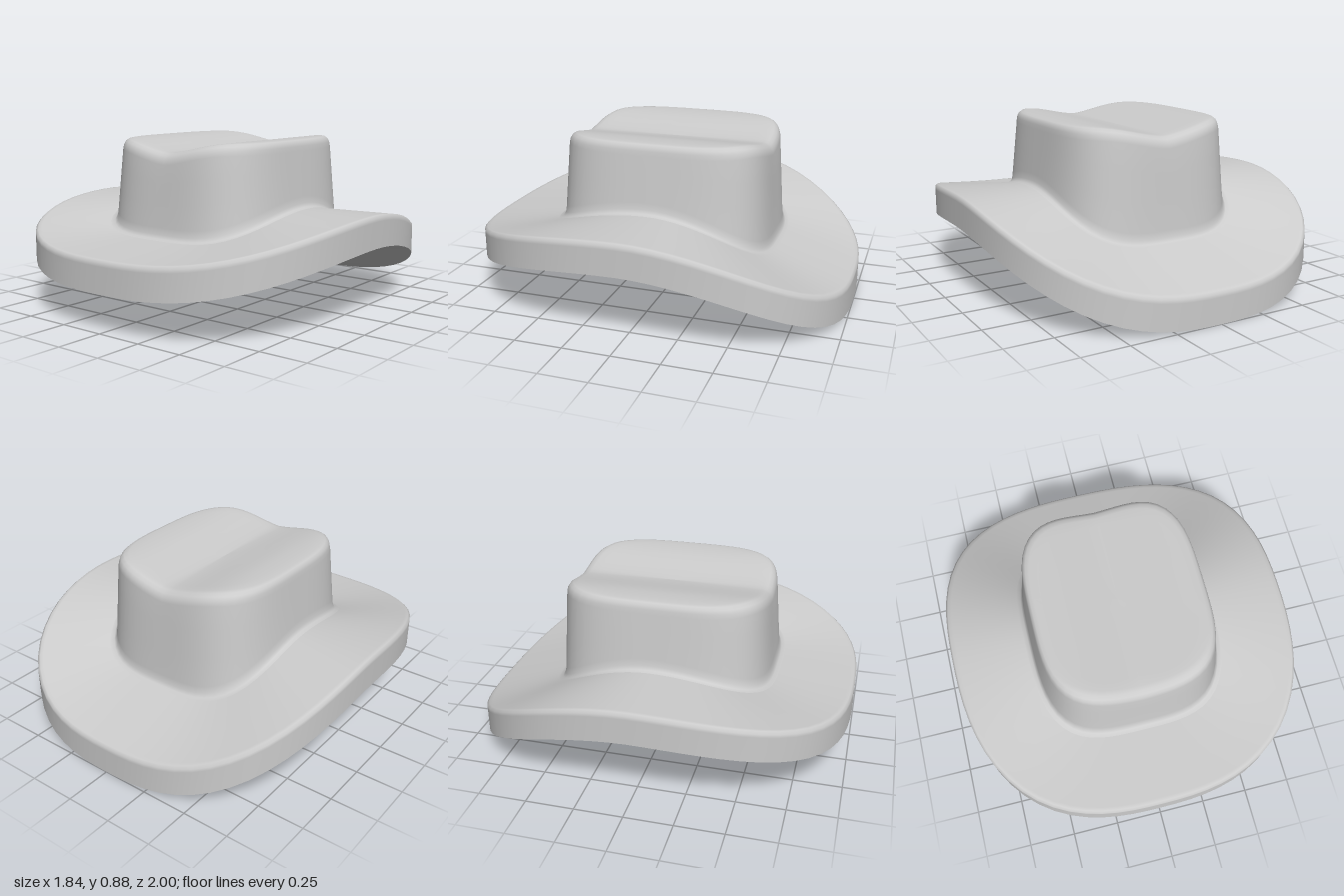
import * as THREE from 'three';

const SEG = 72;
const lerp = THREE.MathUtils.lerp;
const smooth = THREE.MathUtils.smoothstep;

// Rounded-rectangle ring: half sizes a, b; roundness n; height given by a rule of (x, zn)
const ring = (a, b, n, height) => Array.from({ length: SEG }, (_, j) => {
  const t = (j / SEG) * Math.PI * 2, c = Math.cos(t), s = Math.sin(t);
  const r = Math.pow(Math.abs(c) ** n + Math.abs(s) ** n, -1 / n);
  return [a * r * c, height(a * r * c, r * s), b * r * s];
});

// Skin consecutive rings with a smooth surface
function loft(name, rings, material) {
  const index = [];
  for (let i = 0; i < rings.length - 1; i++) {
    for (let j = 0; j < SEG; j++) {
      const k = (j + 1) % SEG, p = i * SEG, q = p + SEG;
      index.push(p + j, q + j, p + k, q + j, q + k, p + k);
    }
  }
  const geometry = new THREE.BufferGeometry();
  geometry.setAttribute('position', new THREE.Float32BufferAttribute(rings.flat(2), 3));
  geometry.setIndex(index);
  geometry.computeVertexNormals();
  const mesh = new THREE.Mesh(geometry, material);
  mesh.name = name;
  return mesh;
}

// Brim heights: level at the sides, dipping at the front and more at the back
const edgeY = (zn) => 0.525 - (zn > 0 ? 0.172 : 0.363) * zn * zn;
const baseY = (zn) => 0.525 - (zn > 0 ? 0.14 : 0.235) * zn * zn;
// Crown top: a valley along z between two raised sides
const topY = (x) => 0.82 + 0.06 * smooth(Math.abs(x), -0.04, 0.36) - 0.06 * smooth(0, -0.04, 0.36);

export function createModel() {
  const group = new THREE.Group();
  const felt = new THREE.MeshStandardMaterial({ color: 0xcccccc, side: THREE.DoubleSide });
  const A = 0.92, B = 1, N = 2.65;
  const a0 = 0.52, b0 = 0.6, n0 = 3.5;

  // Brim: upright outer wall, softened edge, then the upper surface in to the crown
  const wall = [-0.165, -0.15, -0.03, -0.012].map((d) => ring(A, B, N, (x, zn) => edgeY(zn) + d));
  const upper = [0, 0.05, 0.25, 0.5, 0.75, 0.92, 1].map((t) =>
    ring(lerp(A - 0.012, a0, t), lerp(B - 0.012, b0, t), lerp(N, n0, t),
      (x, zn) => lerp(edgeY(zn), baseY(zn), t)));
  group.add(loft('brim', [...wall, ...upper], felt));

  // Underside: shallow cone from a central point out to the lower edge of the wall
  const under = [0, 0.25, 0.5, 0.75, 1].map((t) =>
    ring(A * t, B * t, N, (x, zn) => lerp(0.22, edgeY(zn) - 0.165, t)));
  group.add(loft('underside', under, felt));

  // Crown: small fillet at the foot, tapering wall, rounded shoulder, dished top
  const foot = [[a0, b0, 0], [0.5, 0.58, 0.006], [0.489, 0.568, 0.025], [0.485, 0.563, 0.06]]
    .map(([a, b, d]) => ring(a, b, n0, (x, zn) => baseY(zn) + d));
  const side = [0.35, 0.7, 1].map((t) =>
    ring(lerp(0.485, 0.458, t), lerp(0.563, 0.536, t), n0,
      (x, zn) => lerp(baseY(zn) + 0.06, topY(x) - 0.06, t)));
  const shoulder = [[0.455, 0.53, 0.035], [0.45, 0.518, 0.016], [0.438, 0.5, 0.004], [0.42, 0.475, 0]]
    .map(([a, b, d]) => ring(a, b, n0, (x) => topY(x) - d));
  const top = [0.9, 0.75, 0.6, 0.45, 0.3, 0.15, 0].map((t) =>
    ring(0.42 * t, 0.475 * t, n0, (x) => topY(x)));
  group.add(loft('crown', [...foot, ...side, ...shoulder, ...top], felt));

  return group;
}
